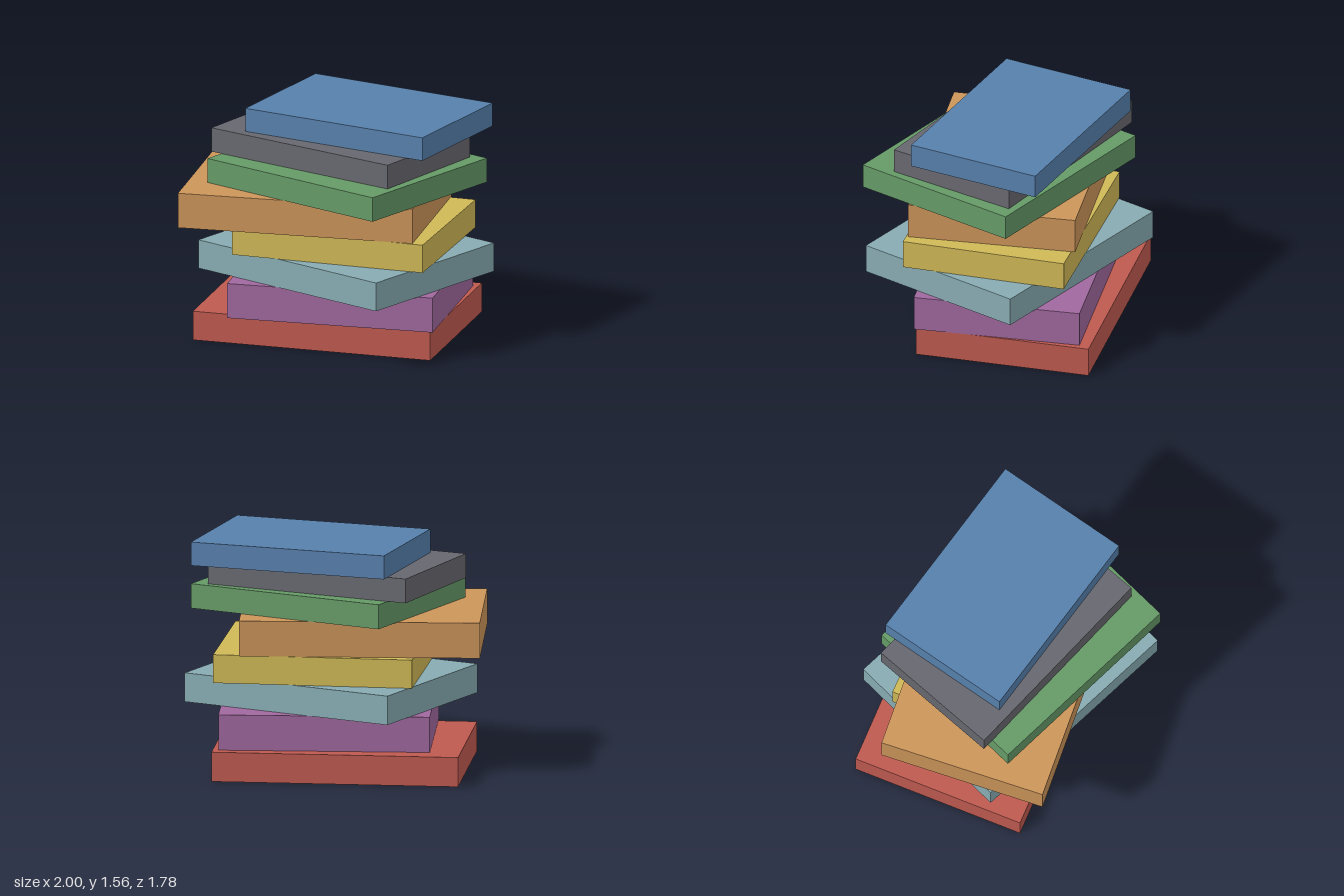
import * as THREE from 'three';

// Stack from bottom to top: [name, colour, width, depth, bottom, top, x, z, turn]
const SLABS = [
  ['red', 0xbf5a50, 1.656, 1.188, 0, 0.2, 0.01, -0.095, 0.272],
  ['purple', 0xa0699f, 1.413, 1.129, 0.2, 0.44, 0.14, -0.05, 0.324],
  ['teal', 0x87abb1, 1.554, 1.221, 0.44, 0.637, 0.147, 0.01, -0.1355],
  ['yellow', 0xd0b957, 1.34, 1.118, 0.637, 0.83, 0.185, -0.025, 0.2445],
  ['orange', 0xcc955a, 1.609, 1.136, 0.83, 1.07, -0.053, 0.0875, 0.335],
  ['green', 0x669a67, 1.431, 1.199, 1.07, 1.237, 0.19, 0.065, -0.1255],
  ['grey', 0x67676f, 1.464, 0.927, 1.237, 1.402, 0.103, 0.008, -0.071],
  ['blue', 0x5780ac, 1.366, 0.936, 1.402, 1.562, 0.238, -0.13, 0.041],
];

export function createModel() {
  const stack = new THREE.Group();
  stack.name = 'bookStack';
  for (const [name, color, width, depth, bottom, top, x, z, turn] of SLABS) {
    const material = new THREE.MeshStandardMaterial({ color });
    material.name = name;
    // One plain block per book, turned about its own centre
    const book = new THREE.Mesh(new THREE.BoxGeometry(width, top - bottom, depth), material);
    book.name = `${name}Book`;
    book.position.set(x, (bottom + top) / 2, z);
    book.rotation.y = turn;
    stack.add(book);
  }
  return stack;
}
